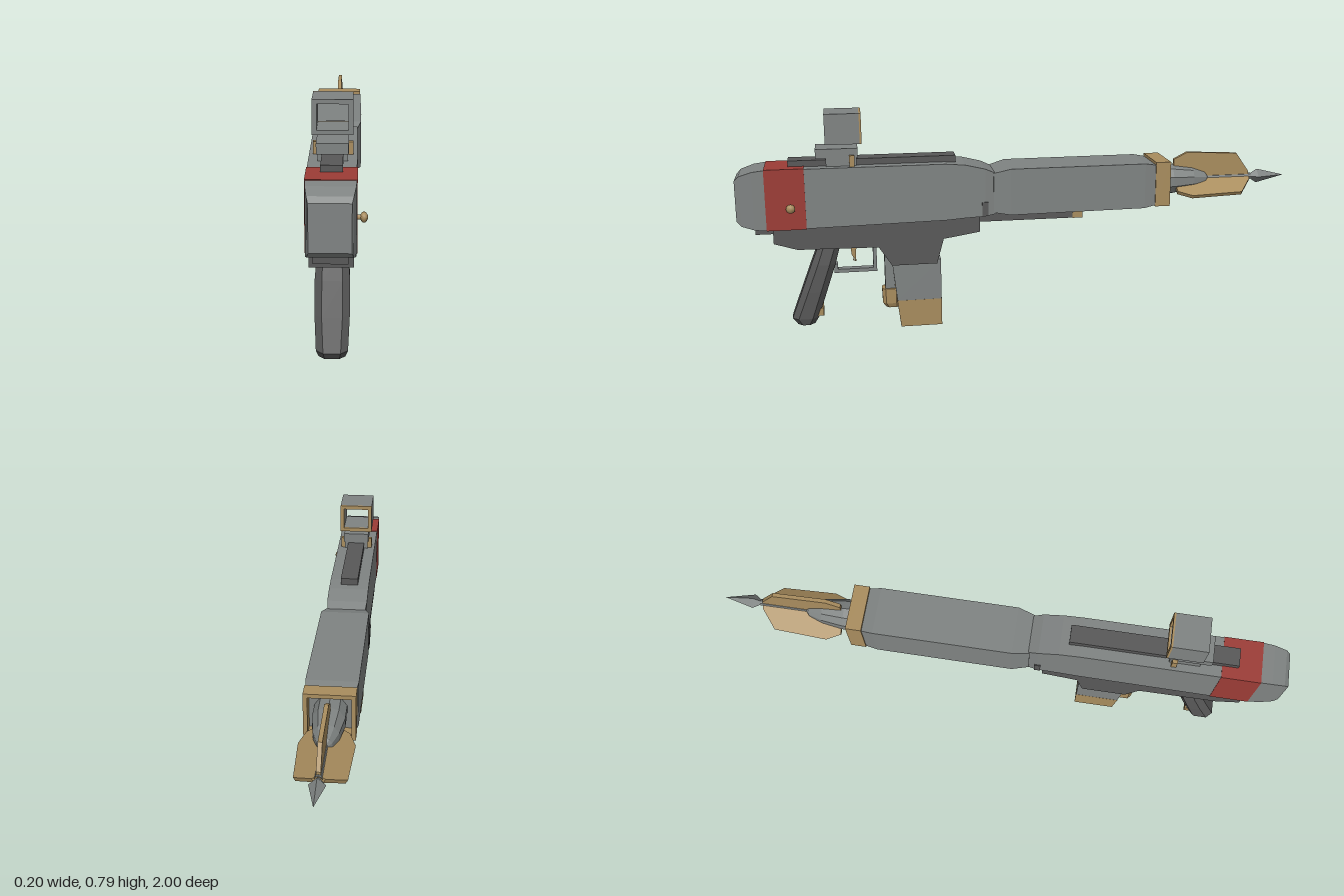
import * as THREE from 'three';

const mat = (name, color) => {
  const m = new THREE.MeshStandardMaterial({ color });
  m.name = name;
  return m;
};

export function createModel() {
  const grey = mat('steel grey', 0x7f8382);
  const dark = mat('dark grey', 0x585858);
  const tan = mat('ochre', 0xa98d5e);
  const red = mat('red', 0x9c3c36);

  const model = new THREE.Group();
  model.name = 'launcher';
  model.position.x = -0.0065;

  const add = (name, geo, material, parent = model) => {
    const m = new THREE.Mesh(geo, material);
    m.name = name;
    parent.add(m);
    return m;
  };

  // Box given by its half width, y range and z range
  const box = (name, material, hw, y0, y1, z0, z1, x = 0) => {
    const m = add(name, new THREE.BoxGeometry(hw * 2, y1 - y0, z1 - z0), material);
    m.position.set(x, (y0 + y1) / 2, (z0 + z1) / 2);
    return m;
  };

  // Flat-faced loft through rectangular sections [position, halfWidth, low, high, chamfer],
  // running from high to low position along z or y
  const loft = (axis, sections) => {
    const rings = sections.map(([p, hw, lo, hi, c = 0]) => {
      const [a, b] = axis === 'z' ? [lo, hi] : [-hi, -lo];
      const flat = c
        ? [[-hw + c, a], [hw - c, a], [hw, a + c], [hw, b - c], [hw - c, b], [-hw + c, b], [-hw, b - c], [-hw, a + c]]
        : [[-hw, a], [hw, a], [hw, b], [-hw, b]];
      return flat.map(([x, v]) => (axis === 'z' ? [x, v, p] : [x, p, -v]));
    });
    const pos = [];
    const tri = (...pts) => pts.forEach((q) => pos.push(...q));
    const n = rings[0].length;
    for (let s = 0; s < rings.length - 1; s++) {
      for (let i = 0; i < n; i++) {
        const j = (i + 1) % n;
        const [r, q] = [rings[s], rings[s + 1]];
        tri(r[i], q[i], r[j]);
        tri(r[j], q[i], q[j]);
      }
    }
    const last = rings[rings.length - 1];
    for (let i = 1; i < n - 1; i++) {
      tri(rings[0][0], rings[0][i], rings[0][i + 1]);
      tri(last[0], last[i + 1], last[i]);
    }
    const g = new THREE.BufferGeometry();
    g.setAttribute('position', new THREE.Float32BufferAttribute(pos, 3));
    g.computeVertexNormals();
    return g;
  };

  // Square tube along z
  const frame = (name, material, hw, y0, y1, z0, z1, wall) => {
    const rect = (P, x, a, b) => new P([[-x, a], [x, a], [x, b], [-x, b]].map((p) => new THREE.Vector2(...p)));
    const s = rect(THREE.Shape, hw, y0, y1);
    s.holes.push(rect(THREE.Path, hw - wall, y0 + wall, y1 - wall));
    const g = new THREE.ExtrudeGeometry(s, { depth: z1 - z0, bevelEnabled: false });
    return add(name, g.translate(0, 0, z0), material);
  };

  // Plate from [z, y] points, centred on x = 0
  const plate = (points, thickness) => {
    const s = new THREE.Shape(points.map(([z, y]) => new THREE.Vector2(z, y)));
    const g = new THREE.ExtrudeGeometry(s, { depth: thickness, bevelEnabled: false });
    return g.translate(0, 0, -thickness / 2).rotateY(-Math.PI / 2);
  };

  // Upper body: end cap, red band and receiver
  add('endCap', loft('z', [[1, 0.06, 0.425, 0.567], [0.985, 0.065, 0.408, 0.583],
    [0.94, 0.071, 0.394, 0.598], [0.9, 0.073, 0.39, 0.603]]), grey);
  box('redBand', red, 0.0745, 0.39, 0.605, 0.765, 0.9);
  add('receiver', loft('z', [[0.765, 0.073, 0.392, 0.603], [0.28, 0.073, 0.4, 0.603],
    [0.21, 0.073, 0.405, 0.597], [0.14, 0.073, 0.408, 0.58], [0.1, 0.068, 0.415, 0.562]]), grey);

  // Forend and hollow muzzle collar
  add('forend', loft('z', [[0.11, 0.072, 0.42, 0.563], [0.05, 0.086, 0.412, 0.579],
    [-0.44, 0.086, 0.416, 0.58], [-0.485, 0.08, 0.425, 0.572]]), grey);
  frame('muzzleCollar', tan, 0.084, 0.42, 0.583, -0.535, -0.48, 0.014);
  for (const s of [-1, 1]) box('sideNotch', dark, 0.003, 0.41, 0.46, 0.13, 0.152, s * 0.073);

  // Lower receiver with magazine well
  add('lowerReceiver', plate([[0.88, 0.4], [0.88, 0.34], [0.8, 0.315], [0.52, 0.31], [0.475, 0.24],
    [0.315, 0.24], [0.29, 0.33], [0.16, 0.35], [0.16, 0.41]], 0.13), dark);
  box('heelPlate', dark, 0.05, 0.372, 0.395, 0.87, 0.94);

  // Rail, sight base and sight
  box('topRail', dark, 0.032, 0.6, 0.625, 0.24, 0.82);
  box('sightFoot', grey, 0.045, 0.6, 0.64, 0.585, 0.69);
  box('sightBase', grey, 0.048, 0.632, 0.665, 0.58, 0.725);
  for (const s of [-1, 1]) box('sightClamp', tan, 0.008, 0.603, 0.642, 0.592, 0.61, s * 0.053);
  frame('sightHood', grey, 0.061, 0.682, 0.788, 0.572, 0.69, 0.014);
  frame('sightRearRim', tan, 0.061, 0.682, 0.788, 0.565, 0.572, 0.014);

  // Side knob
  const knob = add('knobStem', new THREE.CylinderGeometry(0.008, 0.008, 0.02, 8), tan);
  knob.rotation.z = Math.PI / 2;
  knob.position.set(0.08, 0.47, 0.815);
  const head = add('knobHead', new THREE.SphereGeometry(0.016, 8, 6), tan);
  head.scale.x = 0.75;
  head.position.set(0.093, 0.47, 0.815);

  // Pistol grip with a band near the bottom
  add('grip', loft('y', [[0.33, 0.046, 0.65, 0.725, 0.018], [0.25, 0.053, 0.672, 0.757, 0.022],
    [0.15, 0.053, 0.706, 0.795, 0.022], [0.05, 0.048, 0.74, 0.833, 0.022],
    [0.025, 0.04, 0.755, 0.815, 0.018]]), dark);
  box('gripBand', tan, 0.032, 0.055, 0.083, 0.722, 0.755);

  // Trigger and guard
  const trigger = add('trigger', plate([[0.62, 0.315], [0.595, 0.315], [0.6, 0.28], [0.612, 0.25],
    [0.6, 0.245], [0.615, 0.27]].reverse(), 0.014), tan);
  trigger.material.side = THREE.DoubleSide;
  box('guardBottom', grey, 0.014, 0.207, 0.22, 0.53, 0.675);
  box('guardFront', grey, 0.014, 0.207, 0.315, 0.527, 0.54);
  box('guardRear', grey, 0.014, 0.207, 0.24, 0.665, 0.678);

  // Magazine and its catch
  add('magazine', loft('y', [[0.25, 0.046, 0.3, 0.475], [0.1, 0.046, 0.3, 0.459]]), grey);
  add('magazineBase', loft('y', [[0.1, 0.0465, 0.299, 0.46], [0, 0.045, 0.3, 0.448]]), tan);
  box('catchArm', grey, 0.02, 0.13, 0.26, 0.465, 0.5);
  add('catchPad', loft('y', [[0.14, 0.028, 0.45, 0.512, 0.012], [0.085, 0.028, 0.45, 0.51, 0.012],
    [0.068, 0.022, 0.45, 0.498, 0.01]]), tan);

  // Under-forend bar and tube
  box('underBar', dark, 0.03, 0.377, 0.415, -0.19, 0.2);
  box('underBarTip', tan, 0.034, 0.377, 0.418, -0.222, -0.185);
  const tube = add('underTube', new THREE.CylinderGeometry(0.014, 0.02, 0.15, 10), grey);
  tube.rotation.x = -Math.PI / 2;
  tube.position.set(0, 0.415, -0.29);
  box('underPlate', tan, 0.035, 0.403, 0.42, -0.43, -0.24);

  // Rocket: body, shaft, pointed tip and three radial fins
  const rocket = new THREE.Group();
  rocket.name = 'rocket';
  rocket.position.y = 0.5;
  model.add(rocket);
  const lathe = (name, pts, sides) => {
    const g = new THREE.LatheGeometry(pts.map((p) => new THREE.Vector2(...p)), sides).toNonIndexed();
    g.computeVertexNormals();
    return add(name, g.rotateX(-Math.PI / 2), grey, rocket);
  };
  lathe('rocketBody', [[0, 0.46], [0.055, 0.46], [0.055, 0.56], [0.043, 0.64], [0.025, 0.69], [0, 0.71]], 10);
  lathe('rocketShaft', [[0.012, 0.69], [0.012, 0.87]], 8);
  lathe('rocketTip', [[0, 0.855], [0.026, 0.895], [0, 1]], 4);
  const fin = plate([[-0.86, 0], [-0.57, 0], [-0.57, 0.075], [-0.62, 0.1], [-0.81, 0.09], [-0.86, 0.02]], 0.014);
  for (let i = 0; i < 3; i++) add('rocketFin', fin, tan, rocket).rotation.z = (i * Math.PI * 2) / 3;

  return model;
}
